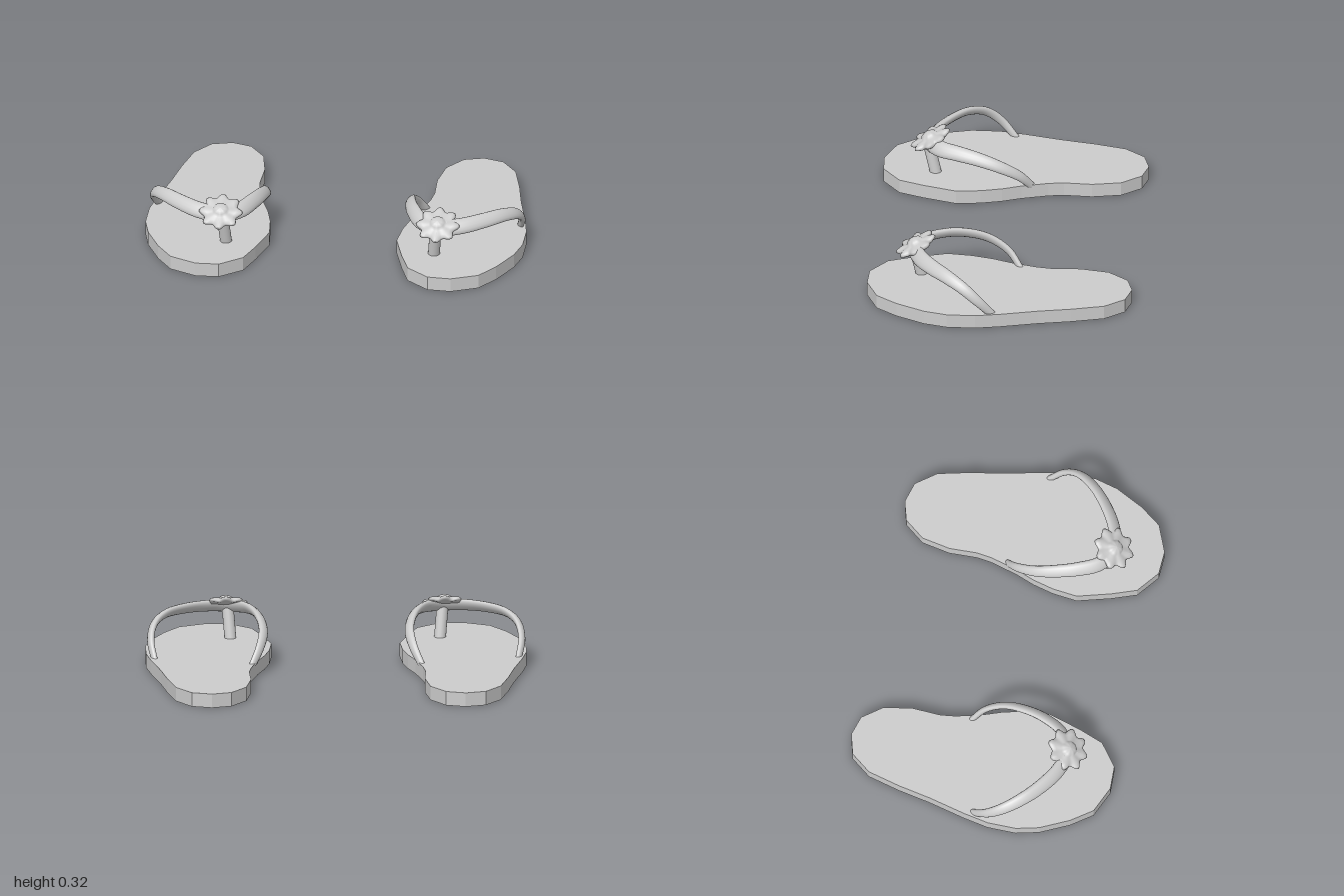
import * as THREE from 'three';

const V = (x, y, z) => new THREE.Vector3(x, y, z);

// Sole outline of the left sandal as [x, z], walking round from the heel
const OUTLINE = [
  [0.666, -0.705], [0.773, -0.675], [0.853, -0.57], [0.896, -0.4], [0.928, -0.23], [0.976, -0.03],
  [1, 0.1], [1, 0.25], [0.97, 0.37], [0.896, 0.52], [0.816, 0.63], [0.676, 0.69], [0.553, 0.685],
  [0.436, 0.594], [0.388, 0.465], [0.337, 0.29], [0.35, 0.16], [0.377, 0.05], [0.414, -0.05],
  [0.452, -0.19], [0.463, -0.27], [0.457, -0.42], [0.484, -0.57], [0.564, -0.675],
];
const SOLE_HEIGHT = 0.075;

function soleGeometry() {
  const shape = new THREE.Shape(OUTLINE.map(([x, z]) => new THREE.Vector2(x, -z)));
  const geo = new THREE.ExtrudeGeometry(shape, { depth: SOLE_HEIGHT, bevelEnabled: false });
  return geo.rotateX(-Math.PI / 2);
}

// Oval band swept along a curve, narrowing towards both ends
function strapGeometry() {
  const curve = new THREE.CatmullRomCurve3([
    V(0.955, 0.06, 0.01), V(0.975, 0.15, 0.09), V(0.957, 0.215, 0.17), V(0.9, 0.247, 0.255),
    V(0.81, 0.252, 0.34), V(0.69, 0.247, 0.415), V(0.575, 0.242, 0.44), V(0.48, 0.248, 0.385),
    V(0.425, 0.25, 0.28), V(0.395, 0.235, 0.17), V(0.384, 0.2, 0.06), V(0.405, 0.14, -0.04),
    V(0.447, 0.06, -0.105),
  ]);
  const steps = 64, sides = 14, pos = [], index = [];
  const core = V(0.67, 0, 0.12);
  for (let i = 0; i <= steps; i++) {
    const t = i / steps, p = curve.getPointAt(t), tangent = curve.getTangentAt(t);
    const across = V().crossVectors(p.clone().sub(core), tangent).normalize();
    const out = V().crossVectors(tangent, across).normalize();
    const bulge = Math.sin(Math.PI * t);
    const w = 0.02 + 0.024 * bulge, h = 0.015 + 0.007 * bulge;
    for (let j = 0; j < sides; j++) {
      const a = (j / sides) * Math.PI * 2;
      const q = p.clone().addScaledVector(across, Math.cos(a) * w).addScaledVector(out, Math.sin(a) * h);
      pos.push(q.x, q.y, q.z);
      if (i === steps) continue;
      const k = (j + 1) % sides, r = i * sides;
      index.push(r + j, r + k, r + sides + j, r + k, r + sides + k, r + sides + j);
    }
  }
  const geo = new THREE.BufferGeometry();
  geo.setAttribute('position', new THREE.Float32BufferAttribute(pos, 3));
  geo.setIndex(index);
  // Make sure the faces look outwards whichever way the curve runs
  const n = V(), a = V(...pos.slice(0, 3)), b = V(...pos.slice(3, 6));
  const c = V(...pos.slice(sides * 3, sides * 3 + 3));
  n.crossVectors(b.sub(a), c.clone().sub(a));
  if (n.dot(a.sub(curve.getPointAt(0))) < 0) flip(geo);
  geo.computeVertexNormals();
  return geo;
}

// Eight-petalled flower with a raised centre, tilted towards the toe
function flowerGeometry() {
  const profile = [[0, -0.014], [0.9, -0.01], [1, 0], [0.94, 0.01], [0.75, 0.017], [0.45, 0.016],
    [0.36, 0.03], [0.22, 0.038], [0, 0.041]];
  const geo = new THREE.LatheGeometry(profile.map(([r, y]) => new THREE.Vector2(r, y)), 64);
  const p = geo.attributes.position;
  for (let i = 0; i < p.count; i++) {
    const x = p.getX(i), z = p.getZ(i), r = Math.hypot(x, z);
    const wave = Math.cos(8 * Math.atan2(x, z));
    const k = 0.104 + 0.013 * wave * Math.min(1, r * r);
    p.setXYZ(i, x * k, p.getY(i) + 0.003 * wave * r * r, z * k);
  }
  geo.computeVertexNormals();
  return geo.rotateX(0.47).translate(0.575, 0.255, 0.438);
}

// Toe post leaning slightly forward
function postGeometry() {
  const from = V(0.55, 0.06, 0.408), to = V(0.565, 0.24, 0.45);
  const dir = to.clone().sub(from);
  const geo = new THREE.CylinderGeometry(0.031, 0.031, dir.length(), 16);
  geo.applyQuaternion(new THREE.Quaternion().setFromUnitVectors(V(0, 1, 0), dir.normalize()));
  const mid = from.add(to).multiplyScalar(0.5);
  return geo.translate(mid.x, mid.y, mid.z);
}

// Reverse the corner order of every face
function flip(geo) {
  const count = geo.index ? geo.index.count : geo.attributes.position.count;
  const old = Array.from({ length: count }, (_, i) => (geo.index ? geo.index.getX(i) : i));
  for (let i = 0; i < count; i += 3) [old[i + 1], old[i + 2]] = [old[i + 2], old[i + 1]];
  geo.setIndex(old);
  return geo;
}

function mirrored(source) {
  const geo = source.clone();
  for (const name of ['position', 'normal']) {
    const at = geo.attributes[name];
    for (let i = 0; i < at.count; i++) at.setX(i, -at.getX(i));
  }
  return flip(geo);
}

export function createModel() {
  const grey = new THREE.MeshStandardMaterial({ color: 0xcccccc });
  grey.name = 'light grey';
  const parts = { sole: soleGeometry(), strap: strapGeometry(), toePost: postGeometry(), flower: flowerGeometry() };

  const model = new THREE.Group();
  model.name = 'sandals';
  for (const side of ['left', 'right']) {
    const sandal = new THREE.Group();
    sandal.name = side + 'Sandal';
    for (const [name, geo] of Object.entries(parts)) {
      const mesh = new THREE.Mesh(side === 'left' ? geo : mirrored(geo), grey);
      mesh.name = name;
      sandal.add(mesh);
    }
    model.add(sandal);
  }
  return model;
}
